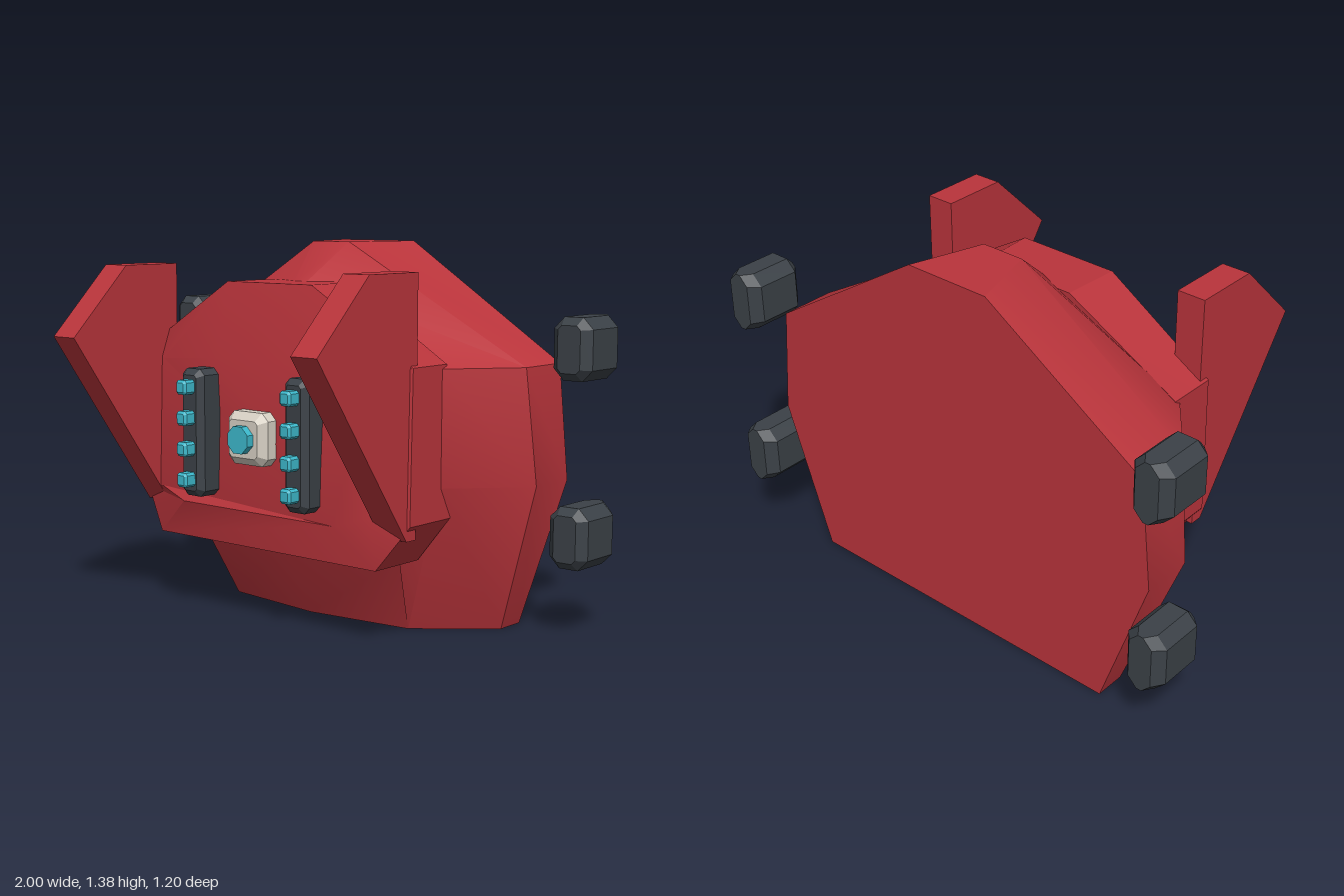
import * as THREE from 'three';
import { toCreasedNormals } from 'three/addons/utils/BufferGeometryUtils.js';

// Skin closed rings of [x, y, z] (counterclockwise from the front), ordered back to front
function loft(rings, crease = 0.45) {
  const n = rings[0].length, index = [];
  for (let r = 0; r < rings.length - 1; r++) {
    for (let i = 0; i < n; i++) {
      const a = r * n + i, b = r * n + (i + 1) % n;
      index.push(a, b, b + n, a, b + n, a + n);
    }
  }
  const last = (rings.length - 1) * n;
  for (let i = 1; i < n - 1; i++) {
    index.push(0, i + 1, i, last, last + i, last + i + 1);
  }
  const g = new THREE.BufferGeometry();
  g.setAttribute('position', new THREE.Float32BufferAttribute(rings.flat(2), 3));
  g.setIndex(index);
  return toCreasedNormals(g.toNonIndexed(), crease);
}

// Mirror a right-half outline (listed top to bottom) into a full ring
function mirrored(half) {
  const left = half.filter((p) => p[0] !== 0).map(([x, y, z]) => [-x, y, z]);
  return [...half].reverse().concat(left);
}

// Octagonal outline of a box with cut corners
function octagon(w, h, c, z) {
  const x = w / 2, y = h / 2;
  return [[x, c - y], [x, y - c], [x - c, y], [c - x, y], [-x, y - c], [-x, c - y], [c - x, -y], [x - c, -y]]
    .map(([px, py]) => [px, py, z]);
}

// Box from z0 to z1 with cut corners and a bevelled front
function bevelBox(w, h, z0, z1, c) {
  return loft([octagon(w, h, c, z0), octagon(w, h, c, z1 - c), octagon(w - 2 * c, h - 2 * c, c * 0.4, z1)], 0.1);
}

export function createModel() {
  const group = new THREE.Group();
  const mat = (name, color) => Object.assign(new THREE.MeshStandardMaterial({ color }), { name });
  const red = mat('red armour', 0xb9343b);
  const dark = mat('dark grey', 0x3b4147);
  const teal = mat('teal light', 0x3db8cb);
  const cream = mat('cream', 0xd6cfc3);

  const add = (name, geometry, material, x = 0, y = 0, z = 0) => {
    const mesh = new THREE.Mesh(geometry, material);
    mesh.name = name;
    mesh.position.set(x, y, z);
    group.add(mesh);
    return mesh;
  };

  // Main hull: flat back, tapering toward the front
  add('hull', loft([
    [[0.17, 1.375, -0.475], [0.82, 0.96, -0.475], [0.86, 0.55, -0.475], [0.67, 0, -0.475], [0, 0, -0.475]],
    [[0.085, 1.375, -0.2], [0.82, 0.96, -0.265], [0.86, 0.55, -0.28], [0.67, 0, -0.36], [0, 0, -0.36]],
    [[0.03, 1.235, -0.03], [0.63, 0.96, -0.03], [0.63, 0.55, -0.03], [0.42, 0, -0.14], [0, 0, -0.09]],
    [[0.03, 1.2, -0.01], [0.45, 0.9, 0.03], [0.45, 0.55, 0.08], [0.48, 0.28, -0.01], [0, 0.28, 0.06]],
  ].map(mirrored)), red);

  // Raised front panel
  add('frontPanel', loft([
    [[0.19, 1.235, -0.08], [0.635, 0.975, -0.06], [0.635, 0.44, -0.09], [0.52, 0.28, -0.06]],
    [[0.2, 1.235, 0.14], [0.635, 0.975, 0.125], [0.635, 0.44, 0.135], [0.52, 0.28, 0.175]],
    [[0.2, 0.96, 0.2], [0.5, 0.94, 0.175], [0.5, 0.46, 0.19], [0.36, 0.42, 0.215]],
  ].map(mirrored)), red);

  // Upright fins: profile drawn in (z, y), thickness along x
  const profile = new THREE.Shape(
    [[-0.09, 1.29], [-0.345, 1.29], [-0.6, 1.04], [-0.14, 0.39], [-0.09, 0.39]].map(([z, y]) => new THREE.Vector2(z, y)));
  const finGeo = new THREE.ExtrudeGeometry(profile, { depth: 0.11, bevelEnabled: false });
  finGeo.translate(0, 0, -0.055).rotateY(Math.PI / 2);

  // Corner pads, narrowed in width at the back and bevelled all round at the front
  const padGeo = loft([
    octagon(0.09, 0.22, 0.035, -0.595), octagon(0.155, 0.22, 0.04, -0.555),
    octagon(0.155, 0.22, 0.04, -0.395), octagon(0.09, 0.165, 0.015, -0.365),
  ], 0.1);

  const stripGeo = bevelBox(0.11, 0.465, 0.14, 0.29, 0.022);
  const studGeo = bevelBox(0.052, 0.052, 0.27, 0.338, 0.009);

  for (const side of [1, -1]) {
    const label = side > 0 ? 'left' : 'right';
    add(label + 'Fin', finGeo, red, side * 0.57);
    add(label + 'UpperPad', padGeo, dark, side * 0.9225, 1.02);
    add(label + 'LowerPad', padGeo, dark, side * 0.9225, 0.36);
    add(label + 'Strip', stripGeo, dark, side * 0.25, 0.692);
    for (let i = 0; i < 4; i++) {
      add(label + 'Stud' + (i + 1), studGeo, teal, side * 0.25, 0.525 + i * 0.112);
    }
  }

  // Central block with its round light
  add('centreBlock', bevelBox(0.19, 0.19, 0.15, 0.275, 0.028), cream, 0, 0.692);
  const lens = new THREE.CylinderGeometry(0.052, 0.052, 0.04, 8);
  lens.rotateY(Math.PI / 8).rotateX(Math.PI / 2);
  add('centreLight', toCreasedNormals(lens, 0.1), teal, 0, 0.692, 0.284);

  return group;
}
